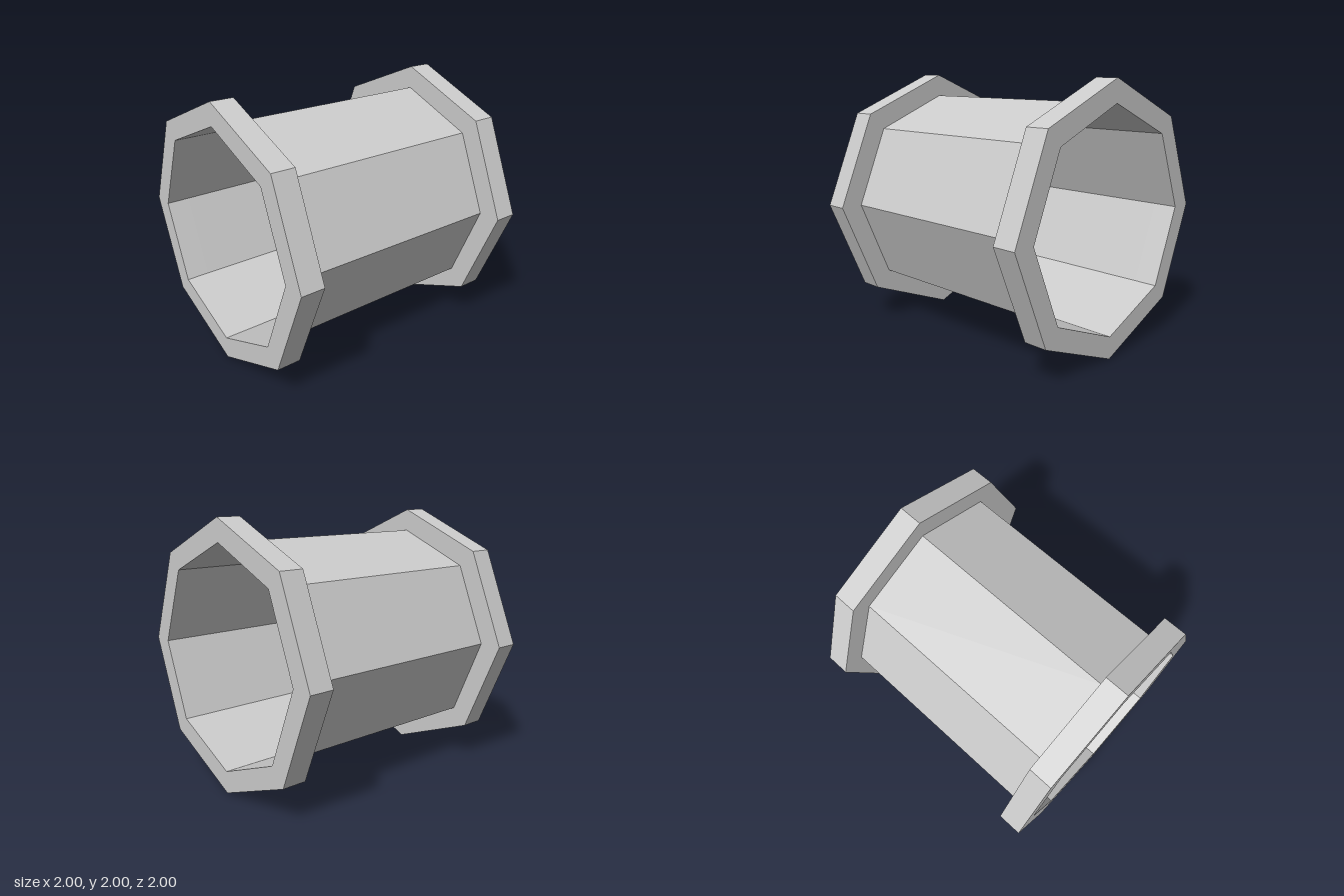
import * as THREE from 'three';

const SIDES = 8;
const BORE = 0.83; // barrel radius, shared with the flange openings
const RIM = 1;
const HALF = 1;
const INNER = 0.82; // where each flange meets the barrel

// Revolve [radius, x] points around the x axis with eight flat sides
function revolve(name, points, side = THREE.FrontSide) {
  const profile = points.map(([r, h]) => new THREE.Vector2(r, h));
  const geometry = new THREE.LatheGeometry(profile, SIDES);
  geometry.rotateZ(-Math.PI / 2);
  const material = new THREE.MeshStandardMaterial({ color: 0xcccccc, flatShading: true, side });
  const mesh = new THREE.Mesh(geometry, material);
  mesh.name = name;
  return mesh;
}

// Closed rectangular ring between two positions along the axis
function flange(name, x0, x1) {
  return revolve(name, [[BORE, x0], [RIM, x0], [RIM, x1], [BORE, x1], [BORE, x0]]);
}

export function createModel() {
  const pipe = new THREE.Group();
  pipe.name = 'pipe';

  // Thin open barrel
  pipe.add(revolve('barrel', [[BORE, -INNER], [BORE, INNER]], THREE.DoubleSide));

  // Raised collar at each end
  pipe.add(flange('leftFlange', INNER, HALF));
  pipe.add(flange('rightFlange', -HALF, -INNER));

  pipe.position.y = RIM;
  const model = new THREE.Group();
  model.name = 'pipeSection';
  model.add(pipe);
  return model;
}
